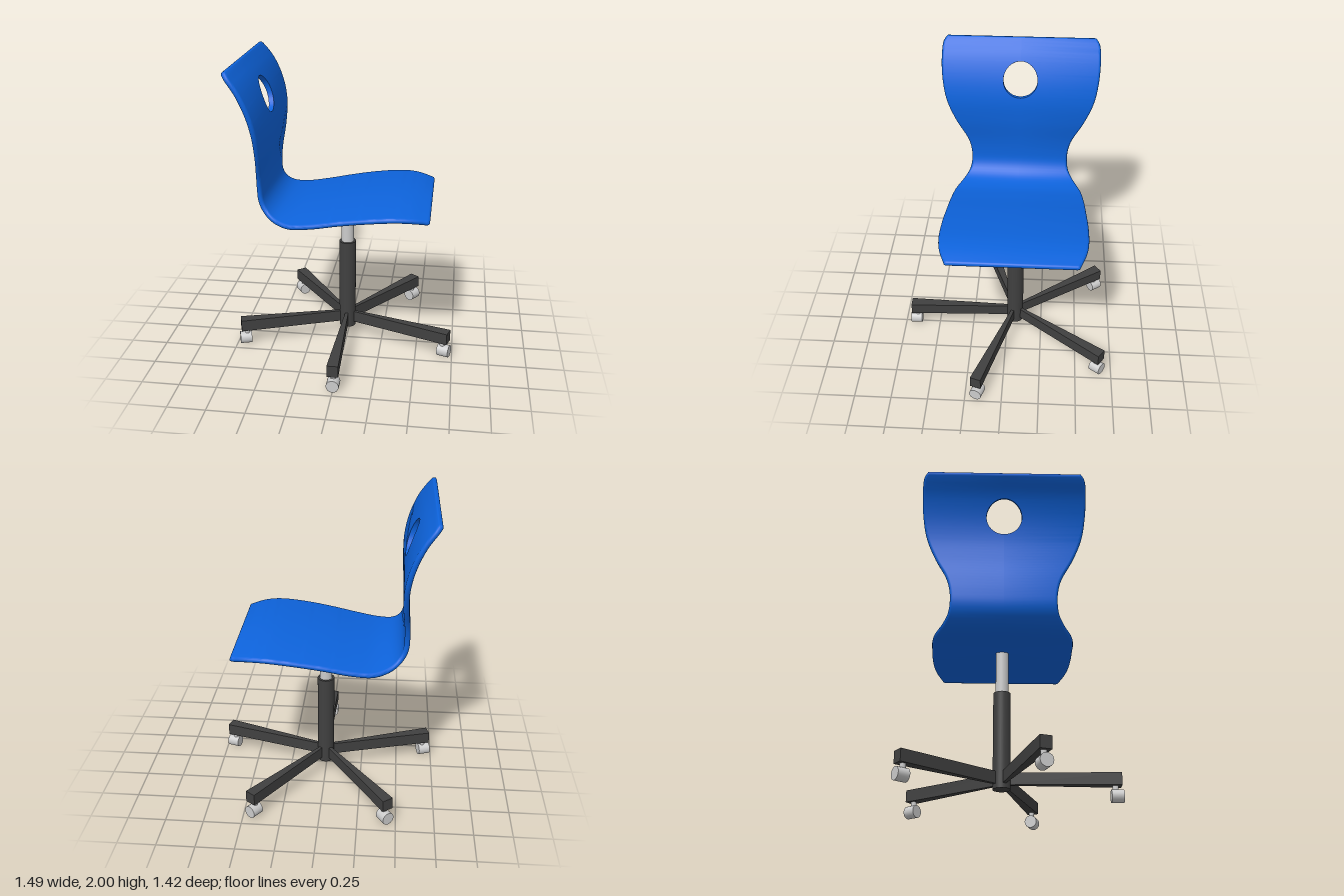
import * as THREE from 'three';
import { toCreasedNormals } from 'three/addons/utils/BufferGeometryUtils.js';

const AXIS_Z = -0.06; // the column and the seat share this centre line

const blue = new THREE.MeshStandardMaterial({ color: 0x0d63dc });
const dark = new THREE.MeshStandardMaterial({ color: 0x404040 });
const grey = new THREE.MeshStandardMaterial({ color: 0xcccccc });

function addMesh(parent, name, geometry, material) {
  const mesh = new THREE.Mesh(geometry, material);
  mesh.name = name;
  parent.add(mesh);
  return mesh;
}

// Shell centre line from the top of the back to the seat's front edge: x, y, half width
const profile = new THREE.CatmullRomCurve3([
  [-0.69, 1.995, 0.495], [-0.668, 1.965, 0.52], [-0.604, 1.874, 0.531], [-0.546, 1.74, 0.525],
  [-0.516, 1.6, 0.5], [-0.514, 1.45, 0.442], [-0.528, 1.29, 0.362], [-0.531, 1.2, 0.34],
  [-0.525, 1.12, 0.337], [-0.498, 1.062, 0.348], [-0.44, 1.013, 0.385], [-0.334, 0.99, 0.437],
  [-0.2, 1.004, 0.459], [-0.005, 1.041, 0.471], [0.17, 1.068, 0.48], [0.355, 1.085, 0.479],
  [0.46, 1.08, 0.463], [0.572, 1.058, 0.42],
].map(p => new THREE.Vector3(...p)));
profile.arcLengthDivisions = 600;

// Position along the back at a given height
function findOnBack(y) {
  let lo = 0, hi = 0.4;
  for (let k = 0; k < 40; k++) {
    const mid = (lo + hi) / 2;
    if (profile.getPointAt(mid).y > y) lo = mid; else hi = mid;
  }
  return lo;
}

// One bent sheet with rounded rims and a round hole, as two mirrored halves
function shellGeometry() {
  const half = 0.0175, holeY = 1.745, holeR = 0.115, arcSteps = 6;
  const length = profile.getLength();
  const holeTop = findOnBack(holeY + holeR), holeBottom = findOnBack(holeY - holeR);

  // Rows along the sheet, closer together at the rims and around the hole
  const rows = [];
  for (let i = 0; i <= 90; i++) {
    const u = i / 90;
    if (u < holeTop - 0.003 || u > holeBottom + 0.003) rows.push({ u, inner: 0 });
  }
  for (let i = 0; i <= 32; i++) {
    const a = Math.PI * i / 32;
    const inner = i % 32 ? holeR * Math.sin(a) : 0;
    rows.push({ u: findOnBack(holeY + holeR * Math.cos(a)), inner });
  }
  for (let i = 1; i <= 5; i++) {
    const u = (1 - Math.cos(Math.PI / 2 * i / 5)) * half / length;
    rows.push({ u, inner: 0 }, { u: 1 - u, inner: 0 });
  }
  rows.sort((a, b) => a.u - b.u);

  const positions = [], index = [];
  const ring = arcSteps + 3;
  for (const side of [1, -1]) {
    const base = positions.length / 3;
    for (const { u, inner } of rows) {
      const p = profile.getPointAt(u), t = profile.getTangentAt(u);
      const n = new THREE.Vector2(-t.y, t.x).normalize();
      const d = Math.min(1, Math.min(u, 1 - u) * length / half);
      const h = half * Math.sqrt(Math.max(0, 1 - (1 - d) ** 2));
      const section = [[inner, h]];
      for (let k = 0; k <= arcSteps; k++) {
        const a = Math.PI * k / arcSteps;
        section.push([p.z - half + half * Math.sin(a), h * Math.cos(a)]);
      }
      section.push([inner, -h]);
      for (const [w, o] of section) positions.push(p.x + n.x * o, p.y + n.y * o, AXIS_Z + side * w);
    }
    for (let i = 0; i < rows.length - 1; i++) {
      const hasWall = rows[i].inner + rows[i + 1].inner > 0;
      for (let j = 0; j < (hasWall ? ring : ring - 1); j++) {
        const a = base + i * ring + j, b = base + i * ring + (j + 1) % ring;
        const c = b + ring, e = a + ring;
        if (side > 0) index.push(a, b, c, a, c, e);
        else index.push(a, c, b, a, e, c);
      }
    }
  }
  const geometry = new THREE.BufferGeometry();
  geometry.setAttribute('position', new THREE.Float32BufferAttribute(positions, 3));
  geometry.setIndex(index);
  return toCreasedNormals(geometry, 0.7);
}

// Foot bar that widens from the hub to the tip
function legGeometry() {
  const reach = 0.76, tipWidth = 0.075, hubWidth = 0.018;
  const geometry = new THREE.BoxGeometry(1, 0.08, reach).translate(0, 0.15, reach / 2);
  const pos = geometry.attributes.position;
  for (let i = 0; i < pos.count; i++) {
    pos.setX(i, pos.getX(i) * THREE.MathUtils.lerp(hubWidth, tipWidth, pos.getZ(i) / reach));
  }
  geometry.computeVertexNormals();
  return geometry;
}

export function createModel() {
  const chair = new THREE.Group();
  chair.name = 'swivelChair';

  addMesh(chair, 'seatShell', shellGeometry(), blue);

  // Column
  addMesh(chair, 'columnSleeve', new THREE.CylinderGeometry(0.057, 0.057, 0.65, 32), dark)
    .position.set(0, 0.405, AXIS_Z);
  addMesh(chair, 'gasLift', new THREE.CylinderGeometry(0.042, 0.042, 0.32, 32), grey)
    .position.set(0, 0.868, AXIS_Z);

  // Five legs, each with a caster
  const bar = legGeometry();
  const stem = new THREE.CylinderGeometry(0.019, 0.019, 0.05, 16);
  const wheel = new THREE.CylinderGeometry(0.042, 0.042, 0.08, 24).rotateX(Math.PI / 2);
  for (let i = 0; i < 5; i++) {
    const leg = new THREE.Group();
    leg.name = 'leg' + (i + 1);
    leg.position.z = AXIS_Z;
    leg.rotation.y = i * Math.PI * 2 / 5;
    addMesh(leg, 'legBar', bar, dark);
    addMesh(leg, 'casterStem', stem, grey).position.set(0, 0.09, 0.72);
    addMesh(leg, 'casterWheel', wheel, grey).position.set(0, 0.044, 0.73);
    chair.add(leg);
  }
  return chair;
}
